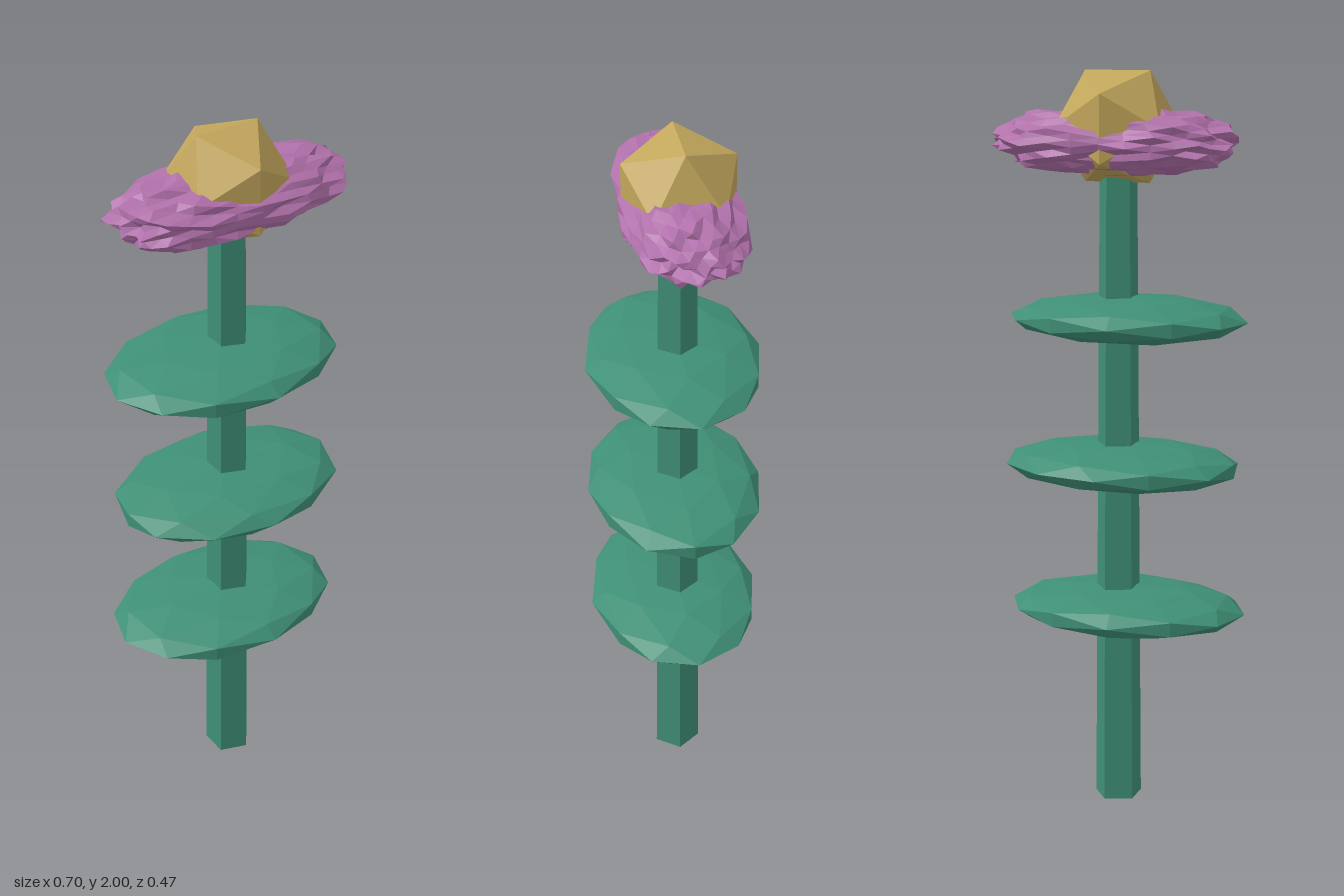
import * as THREE from 'three';

const paint = (color) => new THREE.MeshStandardMaterial({ color, flatShading: true });

function addPart(group, name, geometry, material, x, y, z) {
  const mesh = new THREE.Mesh(geometry, material);
  mesh.name = name;
  mesh.position.set(x, y, z);
  group.add(mesh);
}

// Repeatable value in 0..1 for a direction, so shared corners move together
function hash(v) {
  const r = (n) => Math.round(n * 1000);
  const s = Math.sin(r(v.x) * 12.9898 + r(v.y) * 78.233 + r(v.z) * 37.719) * 43758.5453;
  return s - Math.floor(s);
}

// Squashed ball with blunt ends, roughened into small spikes
function spikyBlossom(rx, ry, rz) {
  const geometry = new THREE.IcosahedronGeometry(1, 5);
  const pos = geometry.attributes.position;
  const v = new THREE.Vector3();
  for (let i = 0; i < pos.count; i++) {
    v.fromBufferAttribute(pos, i);
    const k = 0.86 + 0.18 * hash(v);
    const x = v.x * (1 + 0.3 * (1 - v.x * v.x));
    pos.setXYZ(i, x * k * rx, v.y * k * ry, v.z * k * rz);
  }
  geometry.computeVertexNormals();
  return geometry;
}

export function createModel() {
  const model = new THREE.Group();
  model.name = 'flower';
  const green = paint(0x3f8f76);
  const purple = paint(0xb070aa);
  const gold = paint(0xc2a65c);

  // Five-sided tapering stem with one edge towards +x
  const stem = new THREE.CylinderGeometry(0.052, 0.066, 1.8, 5).rotateY(Math.PI / 2);
  addPart(model, 'stem', stem, green, 0, 0.9, -0.005);

  // Three flat faceted leaves; the middle one is turned
  const leaves = [
    { y: 0.547, x: -0.025, turn: 0.06 },
    { y: 0.947, x: -0.01, turn: 1.017 },
    { y: 1.347, x: -0.025, turn: 0.06 },
  ];
  for (const { y, x, turn } of leaves) {
    const leaf = new THREE.IcosahedronGeometry(1, 1).rotateY(turn).scale(0.33, 0.0625, 0.236);
    addPart(model, 'leaf', leaf, green, x, y, 0);
  }

  // Blossom and its faceted heart
  addPart(model, 'petals', spikyBlossom(0.335, 0.09, 0.16), purple, 0.005, 1.817, -0.01);
  addPart(model, 'flowerHeart', new THREE.IcosahedronGeometry(0.171, 0), gold, 0, 1.855, -0.011);

  return model;
}
